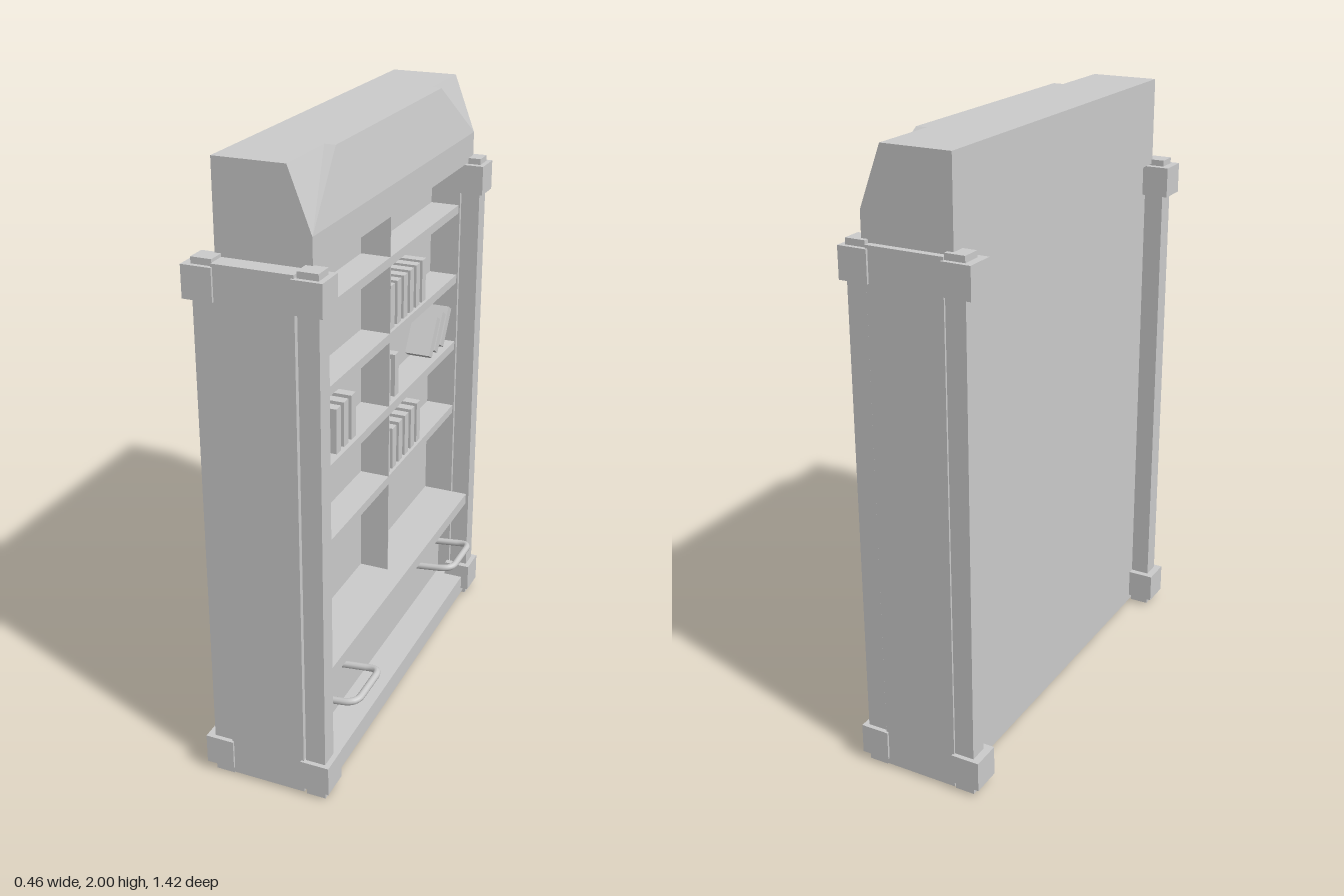
import * as THREE from 'three';

const material = new THREE.MeshStandardMaterial({ color: 0xcccccc, flatShading: true });
const smooth = new THREE.MeshStandardMaterial({ color: 0xcccccc });

export function createModel() {
  const model = new THREE.Group();
  model.name = 'bookcase';

  // Box given by its lower and upper limits on each axis
  function box(name, x0, x1, y0, y1, z0, z1) {
    const mesh = new THREE.Mesh(new THREE.BoxGeometry(x1 - x0, y1 - y0, z1 - z0), material);
    mesh.position.set((x0 + x1) / 2, (y0 + y1) / 2, (z0 + z1) / 2);
    mesh.name = name;
    model.add(mesh);
    return mesh;
  }

  // Carcass, open towards +x
  box('backPanel', -0.145, 0, 0.01, 1.72, -0.63, 0.63);
  box('leftSide', -0.145, 0.105, 0.01, 1.72, 0.63, 0.7);
  box('rightSide', -0.145, 0.105, 0.01, 1.72, -0.7, -0.63);
  box('topRail', 0, 0.105, 1.705, 1.72, -0.63, 0.63);
  box('base', 0, 0.165, 0.01, 0.08, -0.63, 0.63);
  box('drawerFront', 0, 0.06, 0.08, 0.315, -0.63, 0.63);
  box('drawerRail', 0, 0.08, 0.315, 0.395, -0.63, 0.63);
  box('ledge', 0, 0.165, 0.395, 0.435, -0.63, 0.63);
  box('divider', 0, 0.1, 0.435, 1.705, -0.002, 0.002);
  for (const y of [0.765, 1.02, 1.275, 1.53]) box('shelf', 0, 0.1, y, y + 0.03, -0.63, 0.63);

  // Corner posts with blocks near both ends
  for (const [px, bx] of [[-0.21, -0.235], [0.11, 0.097]]) {
    for (const s of [-1, 1]) {
      const span = (a, b) => (s > 0 ? [a, b] : [-b, -a]);
      box('cornerPost', px, px + 0.065, 0, 1.73, ...span(0.63, 0.693));
      for (const y of [0.03, 1.61]) box('cornerBlock', bx, bx + 0.095, y, y + 0.1, ...span(0.608, 0.708));
    }
  }

  // Upright books: shelf height, first centre, pitch, count
  const rows = [
    [1.305, -0.047, -0.056, 6],
    [0.795, -0.018, -0.056, 6],
    [1.055, 0.382, -0.056, 3],
    [1.055, -0.018, -0.07, 2],
    [1.055, 0.615, 0, 1],
  ];
  for (const [y, z, pitch, count] of rows) {
    for (let i = 0; i < count; i++) {
      const c = z + i * pitch;
      box('book', 0, 0.09, y, y + 0.148, c - 0.017, c + 0.017);
    }
  }
  // Leaning books
  for (const z of [-0.445, -0.502, -0.562]) {
    box('leaningBook', 0, 0.09, 1.058, 1.2, z - 0.017, z + 0.017).rotation.x = -0.57;
  }

  // Bent drawer handles
  for (const z of [-0.443, 0.443]) {
    const h = 0.1;
    const path = new THREE.CurvePath();
    const p = (x, y, dz) => new THREE.Vector3(x, y, z + dz);
    path.add(new THREE.LineCurve3(p(0.055, 0.255, -h), p(0.17, 0.268, -h)));
    path.add(new THREE.QuadraticBezierCurve3(p(0.17, 0.268, -h), p(0.215, 0.275, -h), p(0.215, 0.275, -h + 0.04)));
    path.add(new THREE.LineCurve3(p(0.215, 0.275, -h + 0.04), p(0.215, 0.275, h - 0.04)));
    path.add(new THREE.QuadraticBezierCurve3(p(0.215, 0.275, h - 0.04), p(0.215, 0.275, h), p(0.17, 0.268, h)));
    path.add(new THREE.LineCurve3(p(0.17, 0.268, h), p(0.055, 0.255, h)));
    const handle = new THREE.Mesh(new THREE.TubeGeometry(path, 48, 0.012, 10), smooth);
    handle.name = 'drawerHandle';
    model.add(handle);
  }

  // Crown with a sloping front and a cut at each upper front corner
  const half = 0.657, cut = 0.42;
  const positions = [];
  const face = (pts, flip) => {
    for (let i = 1; i < pts.length - 1; i++) {
      const tri = [pts[0], pts[i], pts[i + 1]];
      if (flip) tri.reverse();
      positions.push(...tri.flat());
    }
  };
  const bx = -0.165, fx = 0.132, y0 = 1.715, y1 = 1.81, y2 = 2;
  for (const s of [-1, 1]) {
    const e = s * half, c = s * cut, flip = s < 0;
    face([[bx, y0, e], [fx, y0, e], [fx, y1, e], [0.06, y2, e], [bx, y2, e]], flip);
    face([[0.06, y2, e], [fx, y1, e], [0.06, y2, c]], flip);
    face([[0.06, y2, c], [fx, y1, e], [0.095, y2, c]], flip);
    face([[0.095, y2, c], [fx, y1, e], [fx, y1, 0], [0.095, y2, 0]], flip);
    face([[bx, y2, 0], [bx, y2, e], [0.06, y2, e], [0.06, y2, c], [0.06, y2, 0]], flip);
    face([[0.06, y2, 0], [0.06, y2, c], [0.095, y2, c], [0.095, y2, 0]], flip);
    face([[fx, y1, 0], [fx, y1, e], [fx, y0, e], [fx, y0, 0]], flip);
    face([[fx, y0, 0], [fx, y0, e], [bx, y0, e], [bx, y0, 0]], flip);
    face([[bx, y0, 0], [bx, y0, e], [bx, y2, e], [bx, y2, 0]], flip);
  }
  const geometry = new THREE.BufferGeometry();
  geometry.setAttribute('position', new THREE.Float32BufferAttribute(positions, 3));
  geometry.computeVertexNormals();
  const crown = new THREE.Mesh(geometry, material);
  crown.name = 'crown';
  crown.position.z = -0.02;
  model.add(crown);

  return model;
}
